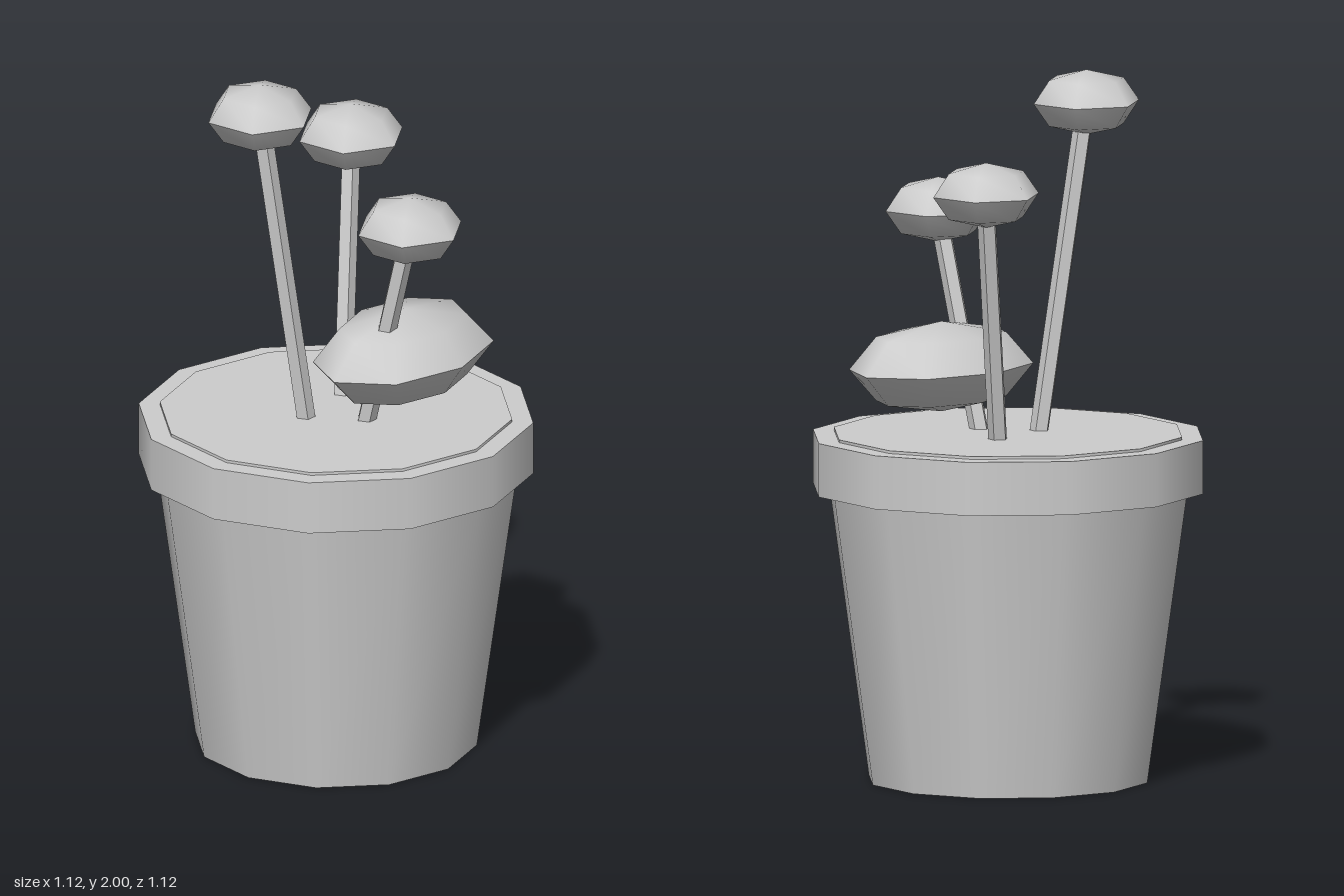
import * as THREE from 'three';
import { toCreasedNormals } from 'three/addons/utils/BufferGeometryUtils.js';

export function createModel() {
  const group = new THREE.Group();
  const grey = new THREE.MeshStandardMaterial({ color: 0xcccccc });
  grey.name = 'plain grey';

  const add = (name, geometry) => {
    const mesh = new THREE.Mesh(geometry, grey);
    mesh.name = name;
    group.add(mesh);
    return mesh;
  };
  const disc = (name, rTop, rBottom, y0, y1) =>
    add(name, new THREE.CylinderGeometry(rTop, rBottom, y1 - y0, 12)).position.y = (y0 + y1) / 2;

  // Squashed low-poly ball with a sharp equator
  const ball = (name, sides, turn, size, centre) => {
    const geometry = new THREE.SphereGeometry(1, sides, 4).rotateY(turn).scale(...size);
    add(name, toCreasedNormals(geometry, Math.PI / 3)).position.copy(centre);
  };

  // Tapered twelve-sided pot, its rim and the soil
  disc('potBody', 0.515, 0.4, 0, 0.83);
  disc('potRim', 0.56, 0.56, 0.825, 0.977);
  disc('soil', 0.5, 0.5, 0.9, 0.985);

  // Leaning stems, each with a hexagonal head: [base, head centre]
  const plants = [
    ['tall', [-0.085, 0.95, -0.037], [-0.212, 1.91, -0.106]],
    ['middle', [0.115, 0.95, -0.068], [0.264, 1.7, -0.153]],
    ['short', [0, 0.95, 0.1], [0, 1.593, 0.263]],
  ];
  const up = new THREE.Vector3(0, 1, 0);
  for (const [name, from, to] of plants) {
    const base = new THREE.Vector3(...from);
    const head = new THREE.Vector3(...to);
    const axis = head.clone().sub(base);
    const rod = new THREE.CylinderGeometry(0.028, 0.028, axis.length(), 5).rotateY(Math.PI);
    const stem = add(name + 'Stem', toCreasedNormals(rod, Math.PI / 3));
    stem.position.copy(base).lerp(head, 0.5);
    stem.quaternion.setFromUnitVectors(up, axis.normalize());
    ball(name + 'Head', 6, Math.PI / 2, [0.156, 0.092, 0.156], head);
  }

  // Large flattened bud low over the soil
  ball('largeBud', 8, 0, [0.315, 0.128, 0.21], new THREE.Vector3(0.105, 1.168, 0.158));

  return group;
}
